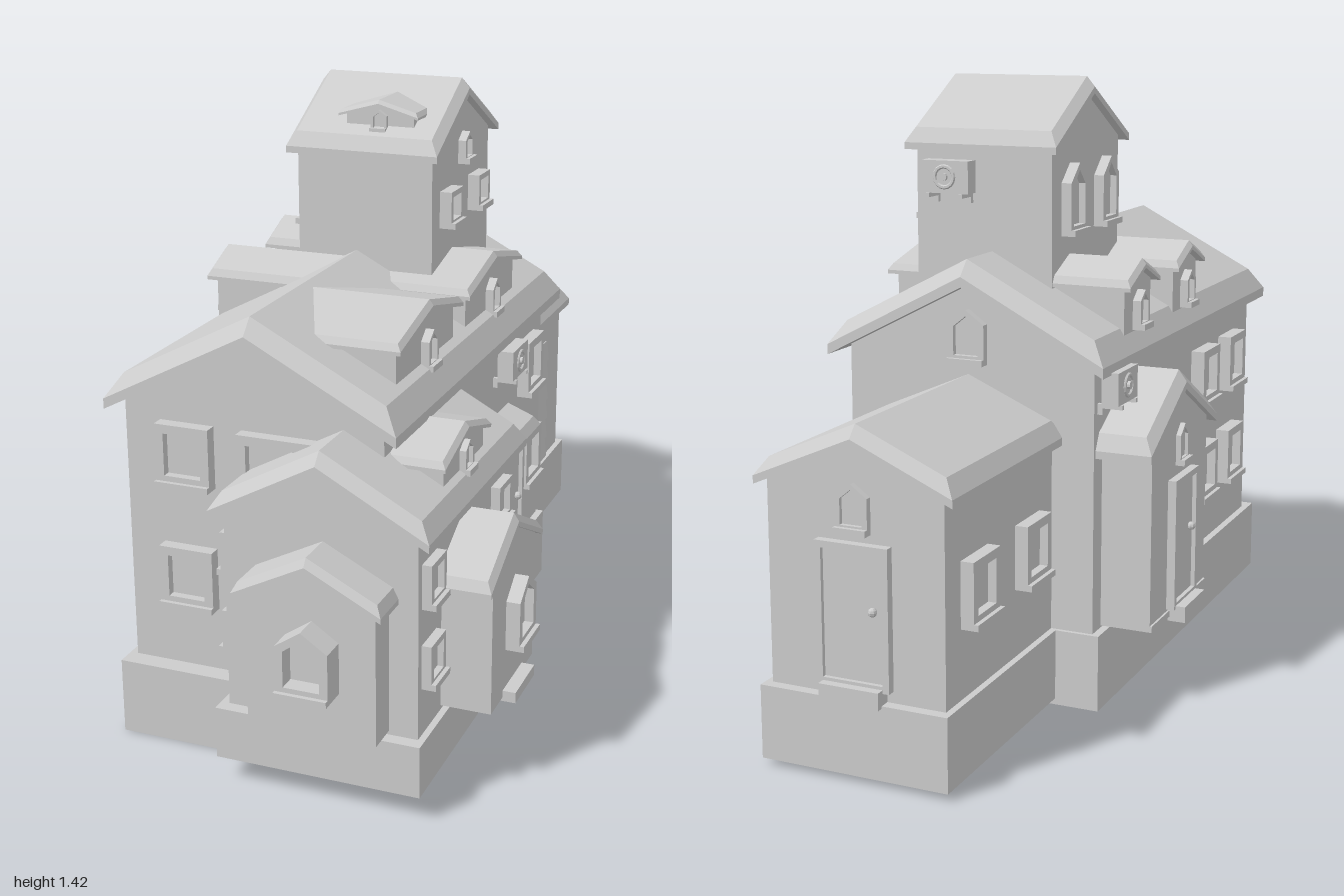
import * as THREE from 'three';

const mat = new THREE.MeshStandardMaterial({ color: 0xcccccc, flatShading: true });
const FRONT = 0, RIGHT = Math.PI / 2, BACK = Math.PI, LEFT = -Math.PI / 2;

function add(parent, name, geo, x = 0, y = 0, z = 0) {
  const m = new THREE.Mesh(geo, mat);
  m.name = name;
  m.position.set(x, y, z);
  parent.add(m);
  return m;
}

// box given by its min and max on each axis
function block(parent, name, x0, x1, y0, y1, z0, z1) {
  return add(parent, name, new THREE.BoxGeometry(x1 - x0, y1 - y0, z1 - z0),
    (x0 + x1) / 2, (y0 + y1) / 2, (z0 + z1) / 2);
}

// group standing on a wall, local +z pointing out of it
function onWall(parent, name, x, y, z, ry) {
  const g = new THREE.Group();
  g.name = name;
  g.position.set(x, y, z);
  g.rotation.y = ry;
  parent.add(g);
  return g;
}

const extrude = (shape, depth) => new THREE.ExtrudeGeometry(shape, { depth, bevelEnabled: false });
const poly = (pts) => pts.map(([x, y]) => new THREE.Vector2(x, y));

// gable roof along z: bevelled chevron slab lofted through four sections
function roofGeometry({ hw, z0, z1, apex, eave, t, b }) {
  const s = (apex - t - eave) / hw, e = t * 0.4;
  const section = (z, inner) => {
    const k = inner ? b : 0, top = inner ? apex : apex - t + e;
    const yk = inner ? apex - s * (hw - b) : eave + e;
    return [[-hw, eave], [0, apex - t], [hw, eave], [hw, eave + e], [hw - k, yk],
      [0, top], [k - hw, yk], [-hw, eave + e]].map(([x, y]) => [x, y, z]);
  };
  const rings = [section(z0, false), section(z0 + b, true), section(z1 - b, true), section(z1, false)];
  const pos = [];
  const quad = (p, q, r, u) => pos.push(...p, ...q, ...r, ...p, ...r, ...u);
  for (let i = 0; i < 3; i++) {
    for (let j = 0; j < 8; j++) {
      const n = (j + 1) % 8;
      quad(rings[i][j], rings[i][n], rings[i + 1][n], rings[i + 1][j]);
    }
  }
  const [a, , , c] = rings;
  quad(c[0], c[1], c[5], c[7]);
  quad(c[1], c[2], c[3], c[5]);
  quad(a[7], a[5], a[1], a[0]);
  quad(a[5], a[3], a[2], a[1]);
  const geo = new THREE.BufferGeometry();
  geo.setAttribute('position', new THREE.Float32BufferAttribute(pos, 3));
  geo.computeVertexNormals();
  return geo;
}

// gabled walls plus roof; ridge along z, or along x when alongX is set
function house(parent, name, o) {
  const r = { t: 0.04, b: 0.02, ...o.roof };
  const g = onWall(parent, name, o.x || 0, 0, o.z || 0, o.alongX ? RIGHT : FRONT);
  const s = (r.apex - r.t - r.eave) / r.hw, w = o.bw;
  const shoulder = r.apex - r.t - s * w + 0.004;
  const shape = new THREE.Shape(poly([[-w, o.y0], [w, o.y0], [w, shoulder], [0, r.apex - r.t + 0.004], [-w, shoulder]]));
  add(g, name + 'Walls', extrude(shape, o.z1 - o.z0), 0, 0, o.z0);
  add(g, name + 'Roof', roofGeometry(r));
}

// outline of a window, with a peaked head if wanted
function outline(w, h, peaked) {
  const a = w / 2, c = h / 2, k = peaked ? h * 0.27 : 0;
  const p = [[-a, -c], [a, -c], [a, c - k]];
  if (peaked) p.push([0, c]);
  p.push([-a, c - k]);
  return poly(p);
}

// frame with an opening, recessed pane and sill
function win(parent, x, y, z, ry, w = 0.13, h = 0.14, peaked = false, d = 0.03) {
  const g = onWall(parent, 'window', x, y, z, ry);
  const f = Math.min(w, h) * 0.16;
  const shape = new THREE.Shape(outline(w, h, peaked));
  shape.holes.push(new THREE.Path(outline(w - 2 * f, h - 2 * f, peaked)));
  add(g, 'windowFrame', extrude(shape, d));
  add(g, 'windowPane', extrude(new THREE.Shape(outline(w - f, h - f, peaked)), d * 0.35));
  block(g, 'windowSill', -w / 2, w / 2, -h / 2 - 0.006, -h / 2 + 0.008, 0, d + 0.01);
}

// framed door with panel, knob and doorstep; y is the floor
function door(parent, x, y, z, ry, w, h, stepOut) {
  const g = onWall(parent, 'door', x, y, z, ry);
  const shape = new THREE.Shape(poly([[-w / 2, 0], [w / 2, 0], [w / 2, h], [-w / 2, h]]));
  const f = 0.015;
  shape.holes.push(new THREE.Path(poly([[f - w / 2, f], [w / 2 - f, f], [w / 2 - f, h - f], [f - w / 2, h - f]])));
  add(g, 'doorFrame', extrude(shape, 0.02));
  block(g, 'doorPanel', f - w / 2, w / 2 - f, f, h - f, 0, 0.01);
  add(g, 'doorKnob', new THREE.SphereGeometry(0.01, 8, 6), w * 0.28, h * 0.55, 0.016);
  block(g, 'doorstep', -0.07, 0.07, -0.03, 0.008, 0, stepOut);
}

// wall-mounted fan unit on brackets
function fanUnit(parent, x, y, z, ry) {
  const g = onWall(parent, 'fanUnit', x, y, z, ry);
  block(g, 'fanCase', -0.06, 0.06, -0.035, 0.04, 0.015, 0.055);
  const ring = add(g, 'fanRing', new THREE.TorusGeometry(0.024, 0.005, 6, 16), 0, 0.003, 0.056);
  ring.scale.z = 0.8;
  const hub = add(g, 'fanHub', new THREE.CylinderGeometry(0.009, 0.009, 0.012, 10), 0, 0.003, 0.056);
  hub.rotation.x = Math.PI / 2;
  for (const s of [-1, 1]) {
    block(g, 'bracketArm', s * 0.042 - 0.005, s * 0.042 + 0.005, -0.045, -0.035, 0, 0.06);
    block(g, 'bracketLeg', s * 0.042 - 0.005, s * 0.042 + 0.005, -0.06, -0.035, 0, 0.012);
  }
}

export function createModel() {
  const model = new THREE.Group();
  model.name = 'house';

  // foundations
  block(model, 'mainFoundation', -0.39, 0.26, 0, 0.18, -0.43, 0.76);
  block(model, 'wingFoundation', -0.09, 0.385, 0.06, 0.18, 0.24, 0.88);
  block(model, 'porchFoundation', 0.1, 0.305, 0.03, 0.18, -0.17, 0.26);
  block(model, 'garageFoundation', -0.285, 0.155, 0.015, 0.18, -0.985, -0.42);
  block(model, 'entryFoundation', -0.497, -0.35, 0.185, 0.2, -0.37, 0.01);

  // main volumes
  house(model, 'mainHouse', { x: -0.065, y0: 0.17, bw: 0.307, z0: -0.42, z1: 0.715,
    roof: { hw: 0.345, z0: -0.465, z1: 0.745, apex: 1.025, eave: 0.785, t: 0.06, b: 0.035 } });
  house(model, 'frontWing', { x: 0.15, y0: 0.17, bw: 0.22, z0: 0.24, z1: 0.85,
    roof: { hw: 0.25, z0: 0.21, z1: 0.87, apex: 0.8, eave: 0.62, t: 0.045, b: 0.025 } });
  house(model, 'frontBay', { x: 0.158, y0: 0.19, bw: 0.147, z0: 0.8, z1: 0.925,
    roof: { hw: 0.168, z0: 0.8, z1: 0.95, apex: 0.602, eave: 0.487, t: 0.03, b: 0.012 } });
  house(model, 'sideBay', { alongX: true, z: 0.56, y0: 0.19, bw: 0.15, z0: 0.3, z1: 0.485,
    roof: { hw: 0.185, z0: 0.32, z1: 0.493, apex: 0.6, eave: 0.477, t: 0.03, b: 0.012 } });
  house(model, 'porch', { x: 0.2, z: 0.035, y0: 0.17, bw: 0.09, z0: -0.17, z1: 0.205,
    roof: { hw: 0.125, z0: -0.195, z1: 0.205, apex: 0.605, eave: 0.525, t: 0.03, b: 0.015 } });
  house(model, 'garage', { x: -0.065, y0: 0.17, bw: 0.205, z0: -0.96, z1: -0.4,
    roof: { hw: 0.23, z0: -0.975, z1: -0.4, apex: 0.76, eave: 0.615, t: 0.045, b: 0.025 } });
  house(model, 'sideEntry', { alongX: true, z: -0.18, y0: 0.19, bw: 0.19, z0: -0.492, z1: -0.3,
    roof: { hw: 0.23, z0: -0.505, z1: -0.3, apex: 0.76, eave: 0.59, t: 0.045, b: 0.02 } });
  house(model, 'tower', { alongX: true, z: -0.09, y0: 0.85, bw: 0.205, z0: -0.215, z1: 0.127,
    roof: { hw: 0.23, z0: -0.235, z1: 0.147, apex: 1.42, eave: 1.255, t: 0.04, b: 0.02 } });

  // dormers
  for (const z of [0.42, -0.03]) {
    house(model, 'rightDormer', { alongX: true, z, y0: 0.83, bw: 0.182, z0: -0.05, z1: 0.225,
      roof: { hw: 0.203, z0: -0.06, z1: 0.243, apex: 1.015, eave: 0.945, t: 0.022, b: 0.01 } });
    win(model, 0.225, 0.905, z, RIGHT, 0.06, 0.085, true, 0.02);
  }
  for (const z of [0.14, -0.19]) {
    house(model, 'leftDormer', { alongX: true, z, y0: 0.83, bw: 0.085, z0: -0.385, z1: -0.06,
      roof: { hw: 0.1, z0: -0.405, z1: -0.06, apex: 1.015, eave: 0.95, t: 0.022, b: 0.01 } });
    win(model, -0.385, 0.9, z, LEFT, 0.06, 0.085, true, 0.02);
  }
  house(model, 'wingDormer', { alongX: true, z: 0.545, y0: 0.655, bw: 0.13, z0: 0.15, z1: 0.36,
    roof: { hw: 0.152, z0: 0.15, z1: 0.372, apex: 0.79, eave: 0.725, t: 0.02, b: 0.01 } });
  win(model, 0.36, 0.715, 0.545, RIGHT, 0.055, 0.07, true, 0.015);
  house(model, 'towerDormer', { x: -0.015, y0: 1.295, bw: 0.085, z0: -0.08, z1: 0.085,
    roof: { hw: 0.1, z0: -0.08, z1: 0.1, apex: 1.387, eave: 1.345, t: 0.014, b: 0.008 } });
  win(model, -0.015, 1.338, 0.085, FRONT, 0.04, 0.05, true, 0.012);

  // main house windows
  win(model, -0.222, 0.697, 0.715, FRONT);
  win(model, -0.222, 0.407, 0.715, FRONT);
  win(model, 0, 0.697, 0.715, FRONT, 0.18);
  for (const y of [0.655, 0.4]) {
    win(model, 0.242, y, -0.287, RIGHT);
    for (const z of [0.31, 0.53]) win(model, -0.372, y - 0.01, z, LEFT, 0.13, 0.14, false, 0.035);
  }
  win(model, -0.065, 0.85, -0.42, BACK, 0.09, 0.12, true, 0.02);

  // front wing windows on both sides
  for (const y of [0.527, 0.343]) {
    for (const z of [0.785, 0.335]) win(model, 0.37, y, z, RIGHT, 0.09, 0.095, false, 0.022);
    win(model, -0.07, y, 0.785, LEFT, 0.09, 0.095, false, 0.022);
  }

  // bay windows and the ledge under the side bay
  win(model, 0.163, 0.38, 0.925, FRONT, 0.12, 0.15, true, 0.06);
  win(model, 0.485, 0.38, 0.555, RIGHT, 0.12, 0.15, true, 0.032);
  block(model, 'bayLedge', 0.475, 0.515, 0.182, 0.207, 0.49, 0.63);

  // porch door and window
  door(model, 0.29, 0.215, 0.007, RIGHT, 0.165, 0.305, 0.045);
  win(model, 0.288, 0.345, 0.165, RIGHT, 0.09, 0.095, false, 0.022);

  // side entry
  door(model, -0.492, 0.205, -0.18, LEFT, 0.16, 0.31, 0.043);
  win(model, -0.492, 0.59, -0.18, LEFT, 0.06, 0.09, true, 0.012);

  // garage openings
  door(model, -0.065, 0.205, -0.96, BACK, 0.17, 0.31, 0.04);
  win(model, -0.065, 0.59, -0.96, BACK, 0.075, 0.1, true, 0.015);
  for (const z of [-0.825, -0.555]) win(model, -0.27, 0.41, z, LEFT, 0.13, 0.14, false, 0.03);
  for (let i = 0; i < 6; i++) {
    const slat = block(model, 'garageDoorSlat', 0.135, 0.147, 0.183 + i * 0.06, 0.24 + i * 0.06, -0.83, -0.52);
    slat.rotation.z = 0.12;
  }

  // tower windows
  for (const z of [0.02, -0.185]) win(model, 0.127, 1.13, z, RIGHT, 0.083, 0.083, false, 0.03);
  win(model, 0.127, 1.255, -0.097, RIGHT, 0.058, 0.07, true, 0.02);
  for (const z of [0.01, -0.19]) win(model, -0.215, 1.147, z, LEFT, 0.1, 0.16, true, 0.025);

  // fan units
  fanUnit(model, 0.03, 1.195, -0.295, BACK);
  fanUnit(model, 0.242, 0.73, -0.065, RIGHT);
  fanUnit(model, -0.372, 0.75, -0.355, LEFT);

  return model;
}
